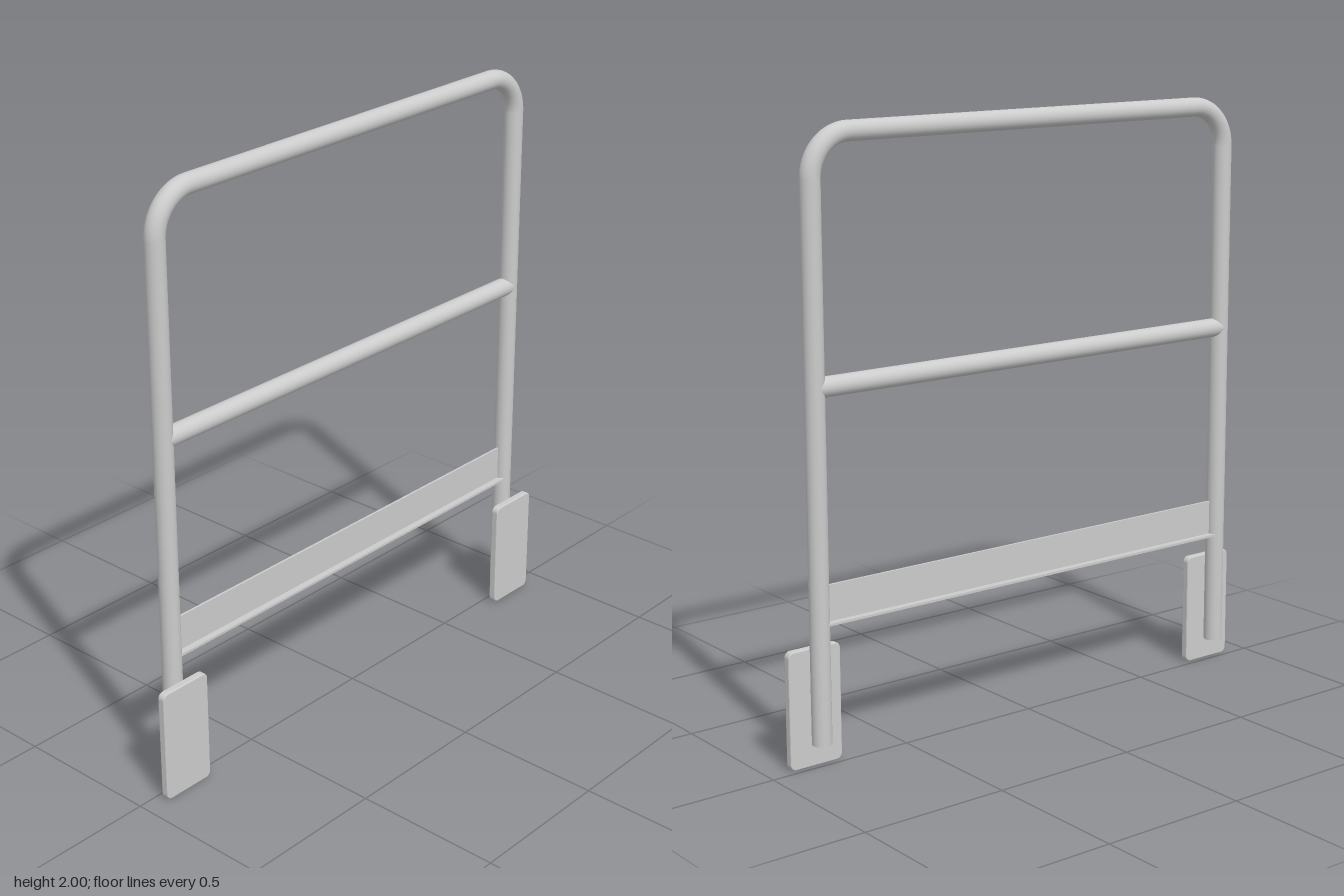
import * as THREE from 'three';

const R = 0.032;      // tube radius
const X = 0.828;      // leg axis
const Z = -0.013;     // frame plane
const BEND = 0.135;   // corner radius on the tube axis
const TOP = 2 - R;    // top rail axis
const FOOT = 0.08;    // lower end of the legs

export function createModel() {
  const group = new THREE.Group();
  const material = new THREE.MeshStandardMaterial({ color: 0xcccccc });

  const add = (name, geometry, x, y, z) => {
    const mesh = new THREE.Mesh(geometry, material);
    mesh.name = name;
    mesh.position.set(x, y, z);
    group.add(mesh);
    return mesh;
  };
  const tube = (length, open) => new THREE.CylinderGeometry(R, R, length, 32, 1, open);

  // Horizontal tubes
  add('topRail', tube(2 * (X - BEND), true), 0, TOP, Z).rotation.z = Math.PI / 2;
  add('midRail', tube(2 * X, true), 0, 1.208, Z).rotation.z = Math.PI / 2;

  // Toe board with a foot flange along its lower edge
  add('toeBoard', new THREE.BoxGeometry(2 * X - 0.02, 0.122, 0.008), 0, 0.529, Z);
  add('toeBoardFlange', new THREE.BoxGeometry(2 * X - 0.02, 0.008, 0.054), 0, 0.469, Z);

  // Mounting plate with rounded corners and softened edges
  const w = 0.095, h = 0.193, r = 0.02, bevel = 0.004, depth = 0.026;
  const a = w - bevel, b = h - bevel, c = r - bevel;
  const outline = new THREE.Shape();
  outline.absarc(a - c, b - c, c, 0, Math.PI / 2);
  outline.absarc(-a + c, b - c, c, Math.PI / 2, Math.PI);
  outline.absarc(-a + c, -b + c, c, Math.PI, Math.PI * 1.5);
  outline.absarc(a - c, -b + c, c, Math.PI * 1.5, Math.PI * 2);
  outline.closePath();
  const plate = new THREE.ExtrudeGeometry(outline, {
    depth: depth - 2 * bevel, bevelEnabled: true, bevelSize: bevel,
    bevelThickness: bevel, bevelSegments: 3, curveSegments: 8,
  });

  // Legs, bent corners and plates on both sides
  for (const [side, s] of [['left', 1], ['right', -1]]) {
    const legTop = TOP - BEND;
    add(side + 'Leg', tube(legTop - FOOT, false), s * X, (legTop + FOOT) / 2, Z);
    const bend = new THREE.TorusGeometry(BEND, R, 32, 20, Math.PI / 2);
    add(side + 'Bend', bend, s * (X - BEND), legTop, Z).rotation.y = s > 0 ? 0 : Math.PI;
    add(side + 'MountingPlate', plate, s * X, h, 0.019 + bevel);
  }
  return group;
}
